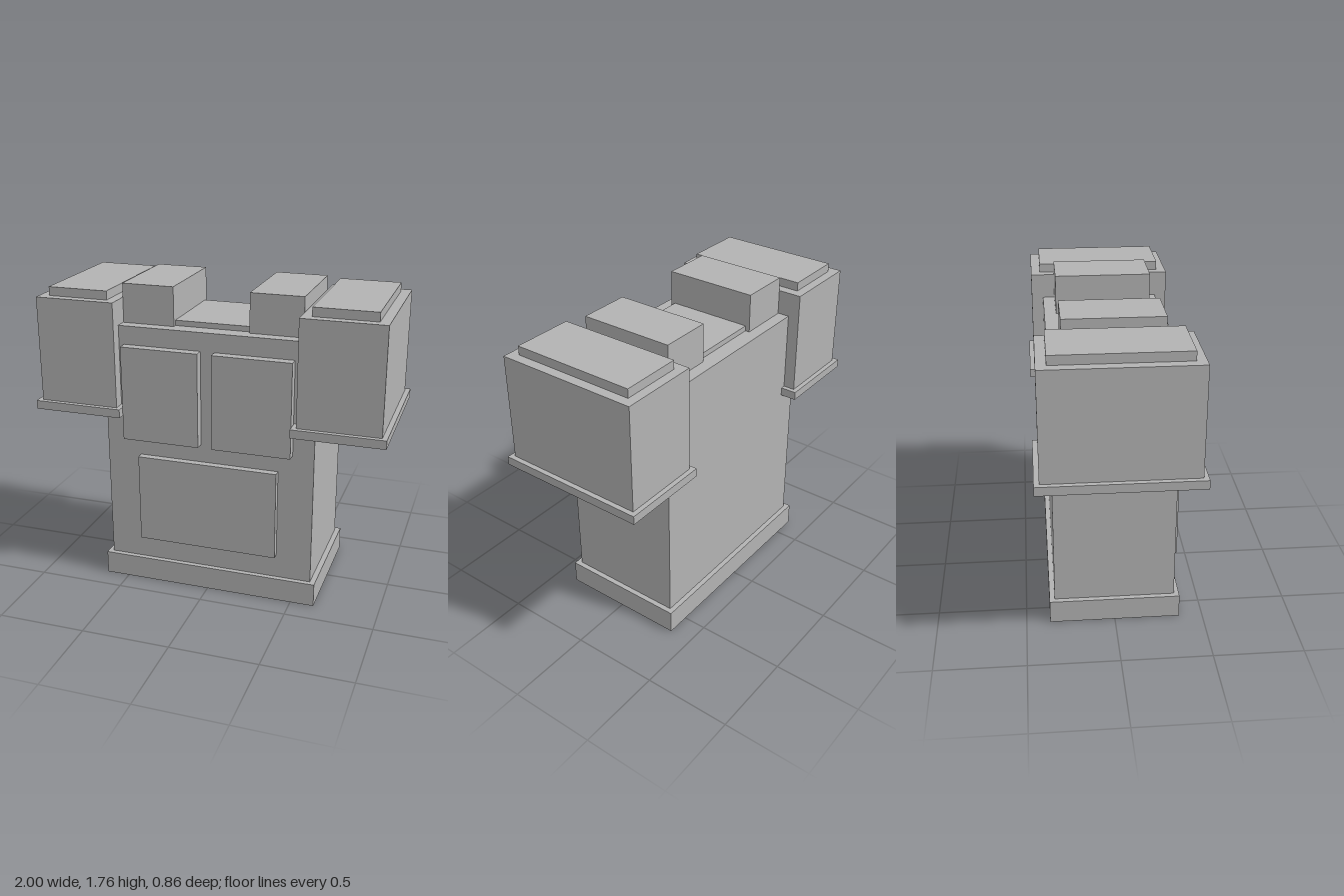
import * as THREE from 'three';

export function createModel() {
  const model = new THREE.Group();
  const grey = new THREE.MeshStandardMaterial({ color: 0xb3b3b3 });
  grey.name = 'plain grey';

  // Box given by its limits on each axis
  const block = (name, [x0, x1], [y0, y1], [z0, z1]) => {
    const mesh = new THREE.Mesh(new THREE.BoxGeometry(x1 - x0, y1 - y0, z1 - z0), grey);
    mesh.position.set((x0 + x1) / 2, (y0 + y1) / 2, (z0 + z1) / 2);
    mesh.name = name;
    model.add(mesh);
  };

  // The same box on both sides of the body
  const pair = (name, [x0, x1], y, z) => {
    block(name + 'Left', [x0, x1], y, z);
    block(name + 'Right', [-x1, -x0], y, z);
  };

  // Torso, base and neck plate
  block('base', [-0.635, 0.635], [0, 0.135], [-0.367, 0.367]);
  block('torso', [-0.605, 0.605], [0.135, 1.54], [-0.338, 0.338]);
  block('neckPlate', [-0.215, 0.215], [1.54, 1.57], [-0.245, 0.245]);

  // Raised panels on the front
  block('bellyPanel', [-0.405, 0.405], [0.275, 0.79], [0.338, 0.38]);
  pair('chestPanel', [0.04, 0.485], [0.895, 1.435], [0.338, 0.393]);

  // Shoulder straps
  pair('strap', [0.215, 0.512], [1.54, 1.76], [-0.27, 0.27]);

  // Sleeves with a cuff below and a cap on top
  pair('sleeve', [0.515, 0.972], [1.082, 1.68], [-0.405, 0.405]);
  pair('cuff', [0.488, 1], [1.033, 1.082], [-0.432, 0.432]);
  pair('shoulderCap', [0.57, 0.917], [1.68, 1.73], [-0.353, 0.353]);

  return model;
}
